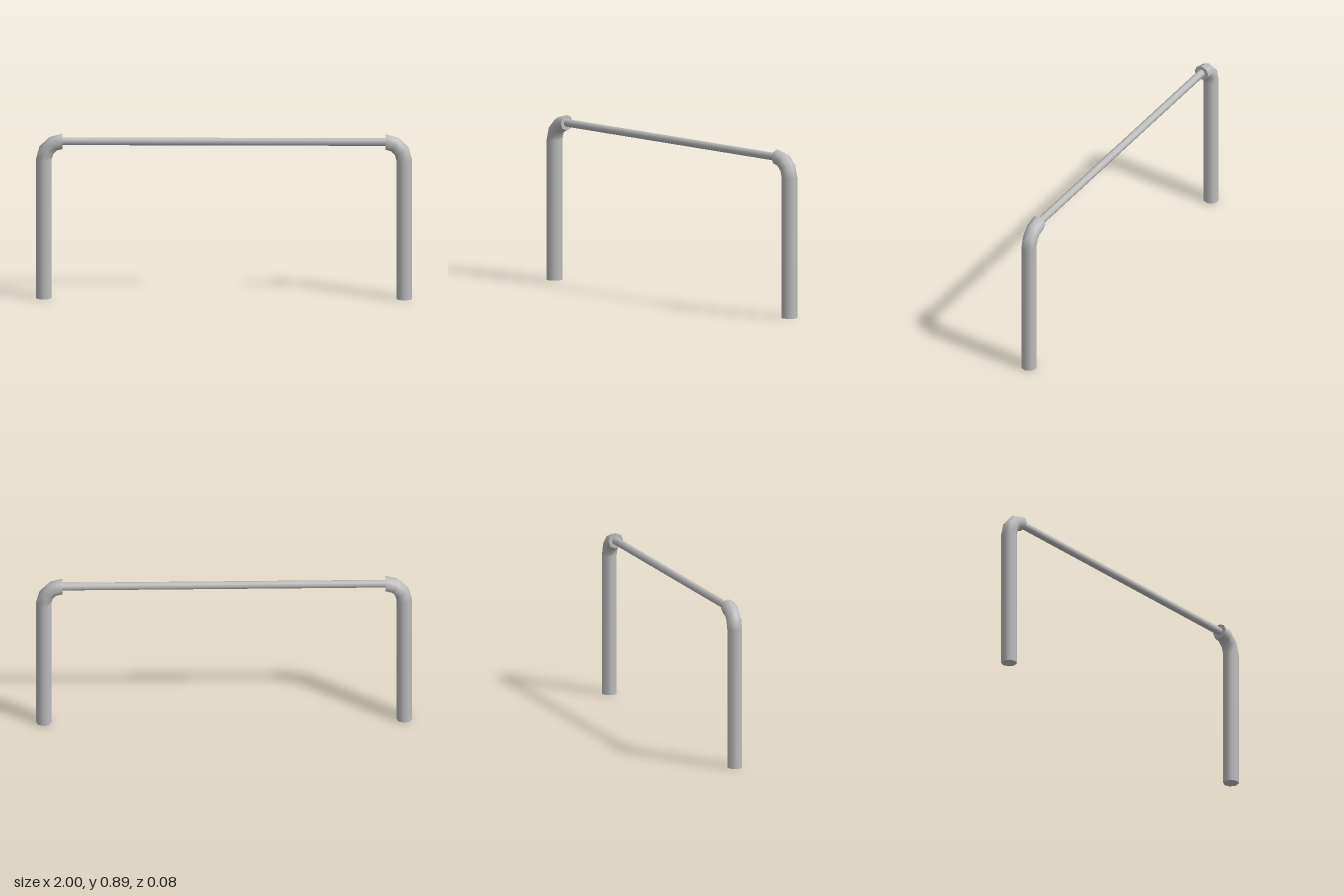
import * as THREE from 'three';

const RADIUS = 0.042; // post tube
const BEND = 0.1; // bend radius of the tube's centre line
const BEND_X = 0.858, BEND_Y = 0.752; // centre of the bend

// Eight-sided post: straight up, then a quarter turn inward in three steps
function bentPost() {
  const geometry = new THREE.CylinderGeometry(RADIUS, RADIUS, 1, 8, 4);
  const { position, normal } = geometry.attributes;
  const axis = new THREE.Vector3(0, 0, 1);
  const n = new THREE.Vector3();
  for (let i = 0; i < position.count; i++) {
    const ring = Math.round((position.getY(i) + 0.5) * 4);
    const angle = Math.max(0, ring - 1) * Math.PI / 6;
    const r = BEND + position.getX(i);
    position.setX(i, BEND_X + r * Math.cos(angle));
    position.setY(i, ring === 0 ? 0 : BEND_Y + r * Math.sin(angle));
    n.fromBufferAttribute(normal, i).applyAxisAngle(axis, angle);
    normal.setXYZ(i, n.x, n.y, n.z);
  }
  return geometry;
}

export function createModel() {
  const model = new THREE.Group();
  model.name = 'barrier';
  const greyMetal = new THREE.MeshStandardMaterial({ color: 0xbebebe });
  greyMetal.name = 'greyMetal';

  // Left and right posts
  const postGeometry = bentPost();
  ['leftPost', 'rightPost'].forEach((name, i) => {
    const post = new THREE.Mesh(postGeometry, greyMetal);
    post.name = name;
    post.rotation.y = i * Math.PI;
    model.add(post);
  });

  // Thin rail between the post ends
  const rail = new THREE.Mesh(new THREE.CylinderGeometry(0.021, 0.021, BEND_X * 2, 8), greyMetal);
  rail.name = 'rail';
  rail.rotation.z = Math.PI / 2;
  rail.position.y = BEND_Y + BEND;
  model.add(rail);

  return model;
}
